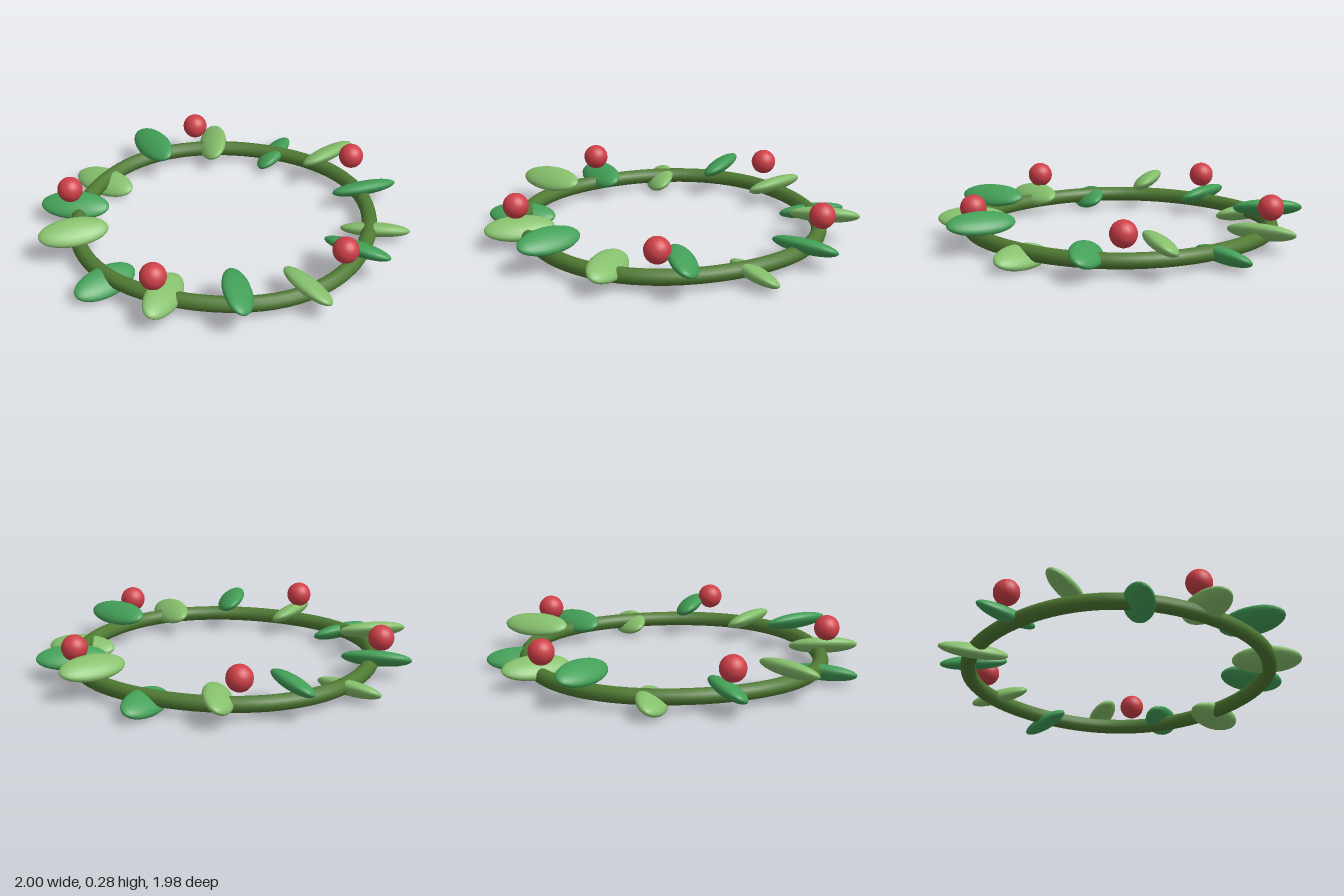
import * as THREE from 'three';

const mat = (name, color) => {
  const m = new THREE.MeshStandardMaterial({ color });
  m.name = name;
  return m;
};

export function createModel() {
  const group = new THREE.Group();
  const vineGreen = mat('vine green', 0x4f7a33);
  const darkLeaf = mat('dark leaf green', 0x43a058);
  const lightLeaf = mat('light leaf green', 0x86c06c);
  const berryRed = mat('berry red', 0xcf4048);

  const add = (name, geometry, material, x, y, z) => {
    const mesh = new THREE.Mesh(geometry, material);
    mesh.name = name;
    mesh.position.set(x, y, z);
    group.add(mesh);
    return mesh;
  };

  // Vine ring, slightly irregular in outline
  const points = [];
  for (let i = 0; i < 32; i++) {
    const a = (i / 32) * Math.PI * 2;
    const r = 0.8 + 0.012 * Math.cos(4 * a);
    points.push(new THREE.Vector3(r * Math.sin(a), 0, -r * Math.cos(a)));
  }
  const path = new THREE.CatmullRomCurve3(points, true);
  add('vineRing', new THREE.TubeGeometry(path, 80, 0.042, 12, true), vineGreen, 0, 0.075, 0);

  // Leaves: flattened ellipsoids pointing outward, rolled, at three heights
  const leafGeometry = new THREE.SphereGeometry(1, 20, 14);
  leafGeometry.rotateX(Math.PI / 2);
  leafGeometry.scale(0.086, 0.04, 0.188);
  const heights = [0.16, 0.108, 0.057];
  const count = 14;
  for (let i = 0; i < count; i++) {
    const a = (i / count) * Math.PI * 2;
    const x = 0.835 * Math.sin(a);
    const z = -0.8 * Math.cos(a);
    const y = heights[((i + 6) % count) % 3];
    const leaf = add('leaf' + (i + 1), leafGeometry, i % 2 ? lightLeaf : darkLeaf, x, y, z);
    leaf.rotation.set(0, Math.atan2(x, z), -0.5);
  }

  // Berries above the ring
  const berryGeometry = new THREE.SphereGeometry(0.069, 20, 14);
  const berries = [[0.85, 0], [0.25, 0.77], [-0.69, 0.465], [-0.68, -0.495], [0.275, -0.78]];
  berries.forEach(([x, z], i) => add('berry' + (i + 1), berryGeometry, berryRed, x, 0.218, z));

  return group;
}
